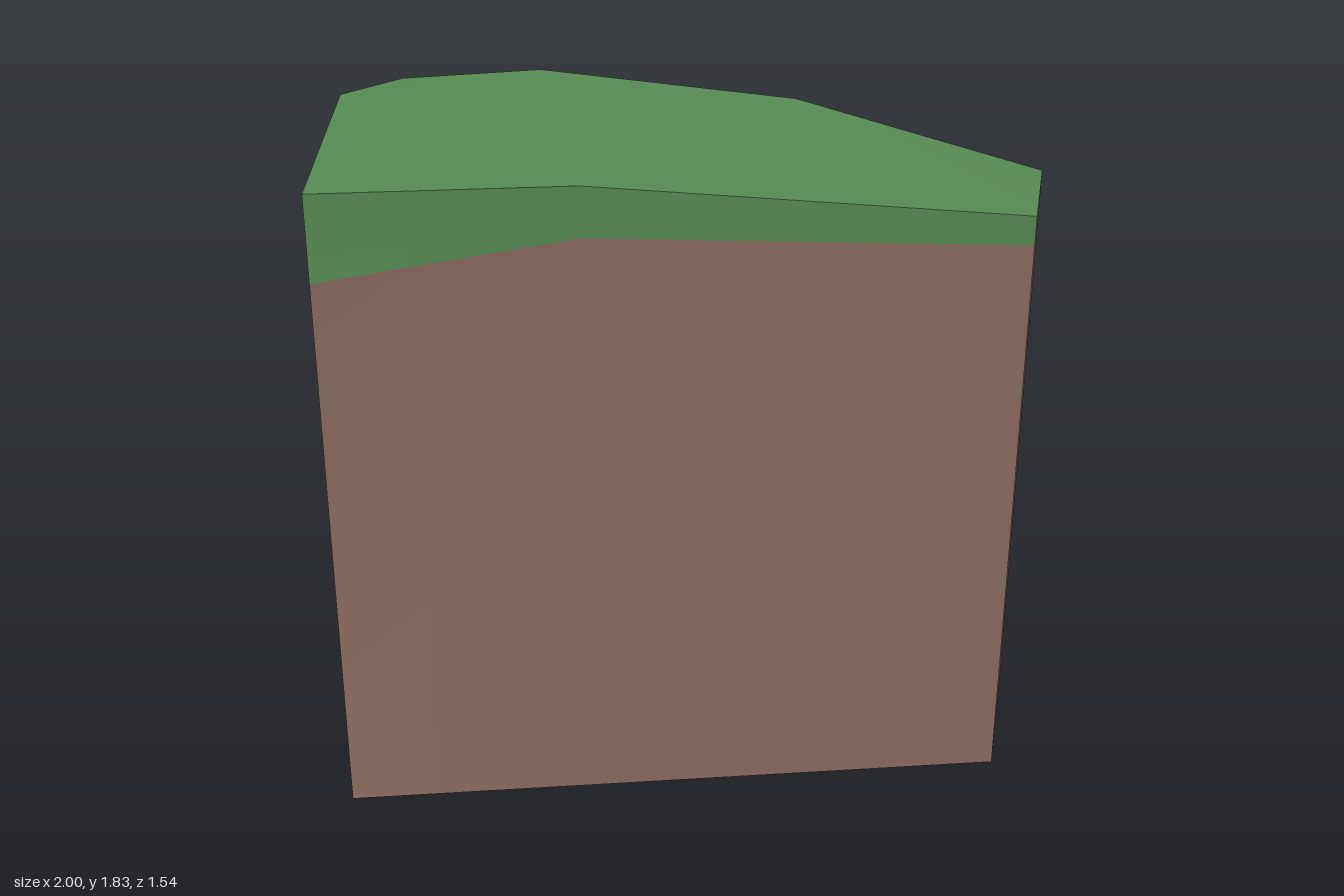
import * as THREE from 'three';

// Outline, counter-clockwise from above: x, z, height of the turf line, height of the top
const OUTLINE = [
  [-1, 0.77, 1.59, 1.83],
  [-0.31, 0.77, 1.69, 1.83],
  [0.88, 0.77, 1.63, 1.71],
  [1, 0.39, 1.63, 1.71],
  [0.36, 0.02, 1.69, 1.83],
  [-0.37, -0.38, 1.69, 1.83],
  [-0.81, -0.77, 1.63, 1.71],
  [-1, -0.59, 1.54, 1.71],
];

// Runs of outline corners that share smooth normals; hard edges lie between runs
const RUNS = { front: [7, 0, 1, 2], right: [2, 3], back: [3, 4, 5, 6], left: [6, 7] };

function makeMesh(name, points, index, material) {
  const geometry = new THREE.BufferGeometry();
  geometry.setAttribute('position', new THREE.Float32BufferAttribute(points, 3));
  geometry.setIndex(index);
  geometry.computeVertexNormals();
  const mesh = new THREE.Mesh(geometry, material);
  mesh.name = name;
  return mesh;
}

// Upright strip along a run, between two height rules
function wall(name, run, low, high, material) {
  const points = [];
  const index = [];
  run.forEach((corner, i) => {
    const p = OUTLINE[corner];
    points.push(p[0], low(p), p[1], p[0], high(p), p[1]);
    if (i > 0) {
      const a = 2 * (i - 1);
      index.push(a, a + 2, a + 3, a, a + 3, a + 1);
    }
  });
  return makeMesh(name, points, index, material);
}

export function createModel() {
  const earth = new THREE.MeshStandardMaterial({ color: 0x8d6e63, side: THREE.DoubleSide });
  earth.name = 'earth brown';
  const grass = new THREE.MeshStandardMaterial({ color: 0x588e54, side: THREE.DoubleSide });
  grass.name = 'grass green';

  const model = new THREE.Group();
  model.name = 'cliffBlock';

  // Earth walls, open underneath, with a turf band along the rim
  for (const [side, run] of Object.entries(RUNS)) {
    model.add(wall(side + 'EarthWall', run, () => 0, (p) => p[2], earth));
    model.add(wall(side + 'TurfBand', run, (p) => p[2], (p) => p[3], grass));
  }

  // Grass top: level in the middle, sloping down at both ends
  const topPoints = OUTLINE.flatMap(([x, z, , y]) => [x, y, z]);
  const topFaces = [0, 1, 4, 0, 4, 5, 0, 5, 7, 5, 6, 7, 1, 2, 4, 2, 3, 4];
  model.add(makeMesh('grassTop', topPoints, topFaces, grass));

  return model;
}
